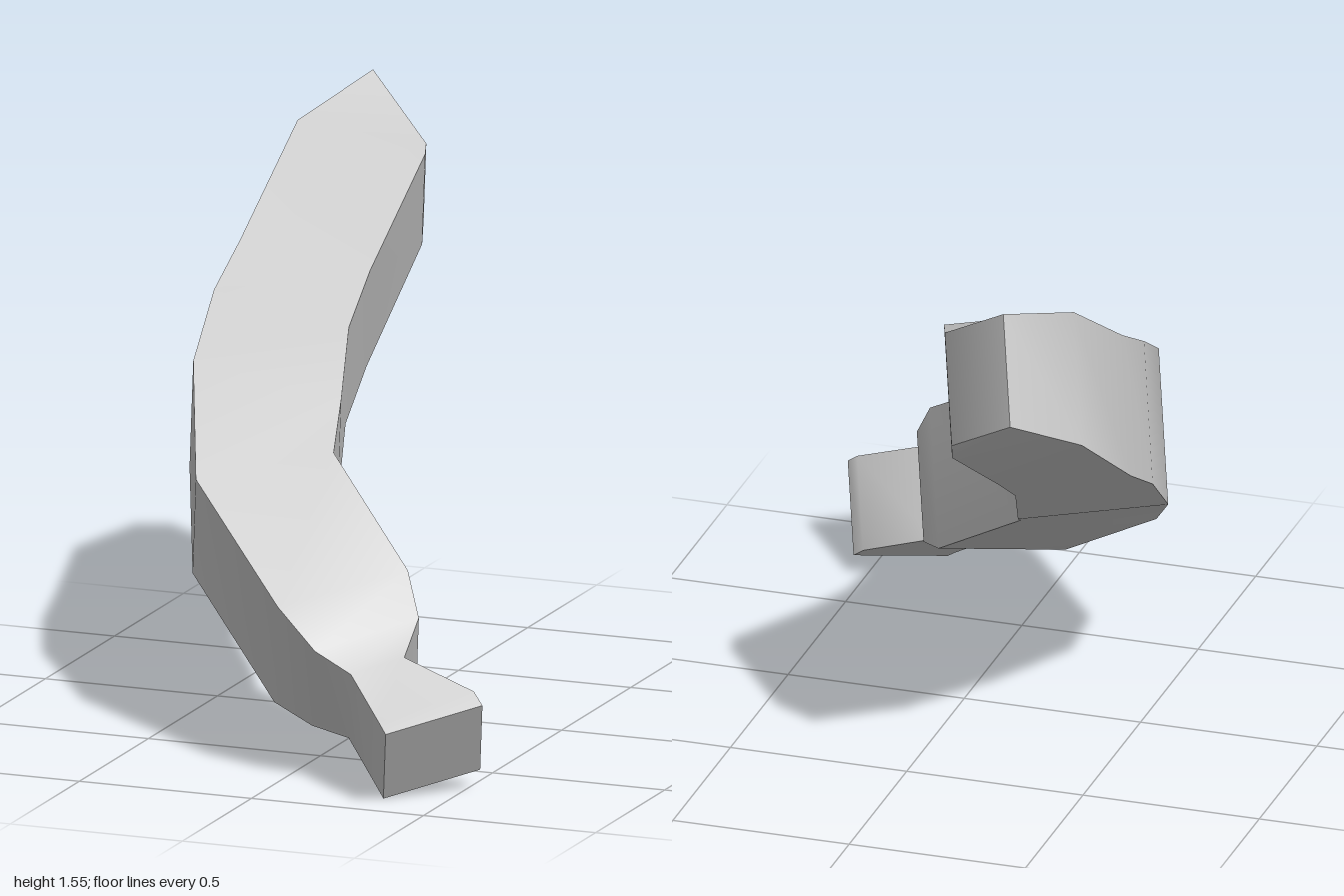
import * as THREE from 'three';
import { toCreasedNormals } from 'three/addons/utils/BufferGeometryUtils.js';

// Each section, stem to tip: outer upper corner, inner upper corner, thickness
const SECTIONS = [
  [[0.39, 0.22, 1.0], [0.595, 0.275, 0.81], 0.215],
  [[0.36, 0.245, 0.975], [0.56, 0.305, 0.785], 0.215],
  [[0.235, 0.34, 0.865], [0.35, 0.375, 0.765], 0.213],
  [[0.13, 0.395, 0.865], [0.35, 0.46, 0.66], 0.25],
  [[0.01, 0.5, 0.835], [0.29, 0.57, 0.59], 0.32],
  [[-0.34, 0.755, 0.555], [-0.03, 0.805, 0.33], 0.315],
  [[-0.47, 1.0, 0.25], [-0.06, 0.92, 0.2], 0.355],
  [[-0.51, 1.135, 0.0], [-0.13, 1.06, -0.03], 0.325],
  [[-0.507, 1.23, -0.18], [-0.145, 1.17, -0.22], 0.32],
  [[-0.5, 1.47, -0.58], [-0.145, 1.4, -0.62], 0.303],
  [[-0.385, 1.56, -0.84], [-0.17, 1.41, -0.69], 0.257],
];
// Direction from the upper face to the lower face, per unit of height
const DOWN = new THREE.Vector3(-0.275, -1, -0.61);

function loftSections(sections) {
  const points = [];
  const index = [];
  const quad = (a, b, c, d) => index.push(a, b, c, a, c, d);

  // Four corners per section: outer top, inner top, inner bottom, outer bottom
  for (const [outer, inner, thickness] of sections) {
    const o = new THREE.Vector3(...outer);
    const n = new THREE.Vector3(...inner);
    points.push(o, n,
      n.clone().addScaledVector(DOWN, thickness),
      o.clone().addScaledVector(DOWN, thickness));
  }

  // Side walls
  for (let i = 0; i < sections.length - 1; i++) {
    for (let k = 0; k < 4; k++) {
      const a = i * 4 + k;
      const b = i * 4 + (k + 1) % 4;
      quad(a, b, b + 4, a + 4);
    }
  }

  // Stem and tip caps
  const last = (sections.length - 1) * 4;
  quad(0, 3, 2, 1);
  quad(last, last + 1, last + 2, last + 3);

  const geometry = new THREE.BufferGeometry().setFromPoints(points);
  geometry.setIndex(index);
  return toCreasedNormals(geometry, Math.PI / 3.2);
}

export function createModel() {
  const group = new THREE.Group();
  group.name = 'banana';
  const peel = new THREE.Mesh(
    loftSections(SECTIONS),
    new THREE.MeshStandardMaterial({ color: 0xcccccc }),
  );
  peel.name = 'peel';
  group.add(peel);
  return group;
}
